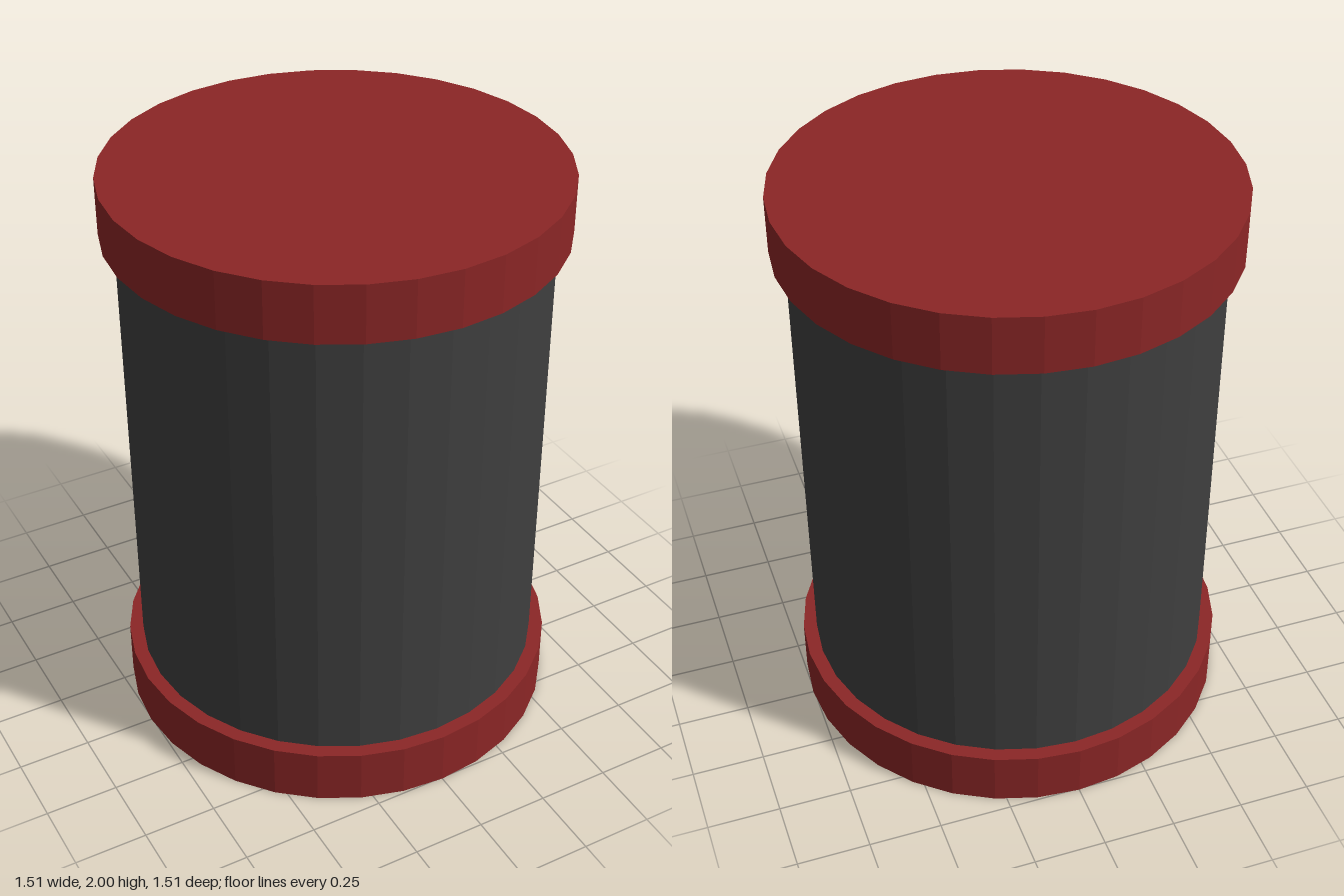
import * as THREE from 'three';

const SIDES = 32;
const HEIGHT = 2;
const CAP_HEIGHT = 0.195;
const CAP_RADIUS = 0.755;
const BODY_RADIUS = 0.707;

function cylinder(name, radius, height, y, material) {
  const mesh = new THREE.Mesh(new THREE.CylinderGeometry(radius, radius, height, SIDES), material);
  mesh.name = name;
  mesh.position.y = y;
  return mesh;
}

export function createModel() {
  const group = new THREE.Group();
  group.name = 'canister';
  const red = new THREE.MeshStandardMaterial({ color: 0x8b2626, flatShading: true });
  const dark = new THREE.MeshStandardMaterial({ color: 0x3f3f3f, flatShading: true });

  // Body between the two caps
  group.add(cylinder('body', BODY_RADIUS, HEIGHT - 2 * CAP_HEIGHT, HEIGHT / 2, dark));

  // Wider caps at both ends
  group.add(cylinder('bottomCap', CAP_RADIUS, CAP_HEIGHT, CAP_HEIGHT / 2, red));
  group.add(cylinder('topCap', CAP_RADIUS, CAP_HEIGHT, HEIGHT - CAP_HEIGHT / 2, red));

  return group;
}
